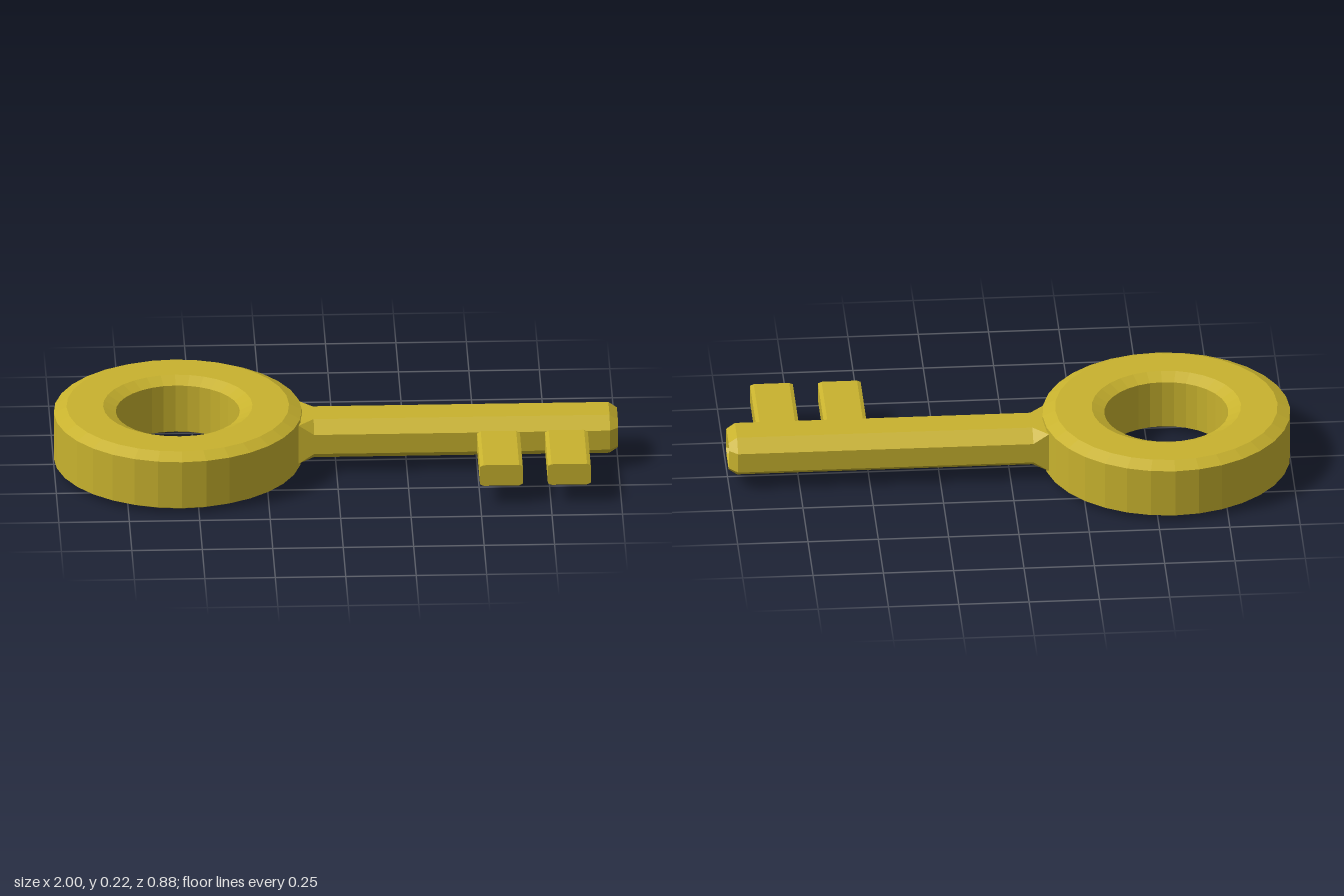
import * as THREE from 'three';

// Lofts corner-cut rectangles along +x. Section: [x, halfWidth, halfHeight, cutWidth, cutHeight]
function loft(sections) {
  const pos = [], idx = [], n = 8;
  for (const [x, w, h, cw, ch] of sections) {
    const quarter = [[w, h - ch], [w - cw, h]];
    const half = [...quarter, [-w + cw, h], [-w, h - ch]];
    // Counter-clockwise seen from +x
    for (const s of [1, -1]) for (const [a, b] of half) pos.push(x, s * b, -s * a);
  }
  const last = (sections.length - 1) * n;
  for (let s = 0; s < last; s += n) {
    for (let i = 0; i < n; i++) {
      const j = (i + 1) % n;
      idx.push(s + i, s + j, s + n + j, s + i, s + n + j, s + n + i);
    }
  }
  for (let i = 1; i < n - 1; i++) idx.push(0, i + 1, i, last, last + i, last + i + 1);
  const geo = new THREE.BufferGeometry();
  geo.setAttribute('position', new THREE.Float32BufferAttribute(pos, 3));
  geo.setIndex(idx);
  const flat = geo.toNonIndexed();
  flat.computeVertexNormals();
  return flat;
}

export function createModel() {
  const key = new THREE.Group();
  key.name = 'key';
  const brass = new THREE.MeshStandardMaterial({ color: 0xc8b22e, flatShading: true });
  const midY = 0.112;

  const add = (name, geometry, x, y, z) => {
    const mesh = new THREE.Mesh(geometry, brass);
    mesh.name = name;
    mesh.position.set(x, y, z);
    key.add(mesh);
    return mesh;
  };

  // Round handle with chamfered inner and outer rims
  const profile = [
    [0.22, 0.022], [0.265, 0], [0.395, 0], [0.44, 0.022],
    [0.44, 0.2], [0.395, 0.222], [0.265, 0.222], [0.22, 0.2], [0.22, 0.022],
  ].map(([r, y]) => new THREE.Vector2(r, y));
  add('handleRing', new THREE.LatheGeometry(profile, 32), -0.56, 0, 0);

  // Octagonal shaft: square root at the ring, chamfered tip with a recess
  add('shaft', loft([
    [-0.18, 0.11, 0.074, 0, 0],
    [-0.135, 0.11, 0.074, 0, 0],
    [-0.08, 0.11, 0.074, 0.055, 0.037],
    [0.97, 0.11, 0.074, 0.055, 0.037],
    [1, 0.08, 0.053, 0.026, 0.018],
    [1, 0.072, 0.048, 0.022, 0.015],
    [0.97, 0.051, 0.034, 0, 0],
  ]), 0, midY, 0);

  // Two teeth with lightly cut long edges
  const toothGeo = loft([
    [0.08, 0.076, 0.04, 0.013, 0.006],
    [0.398, 0.076, 0.04, 0.013, 0.006],
  ]);
  [0.574, 0.815].forEach((x, i) => {
    add(`tooth${i + 1}`, toothGeo, x, midY, 0).rotation.y = -Math.PI / 2;
  });

  return key;
}
